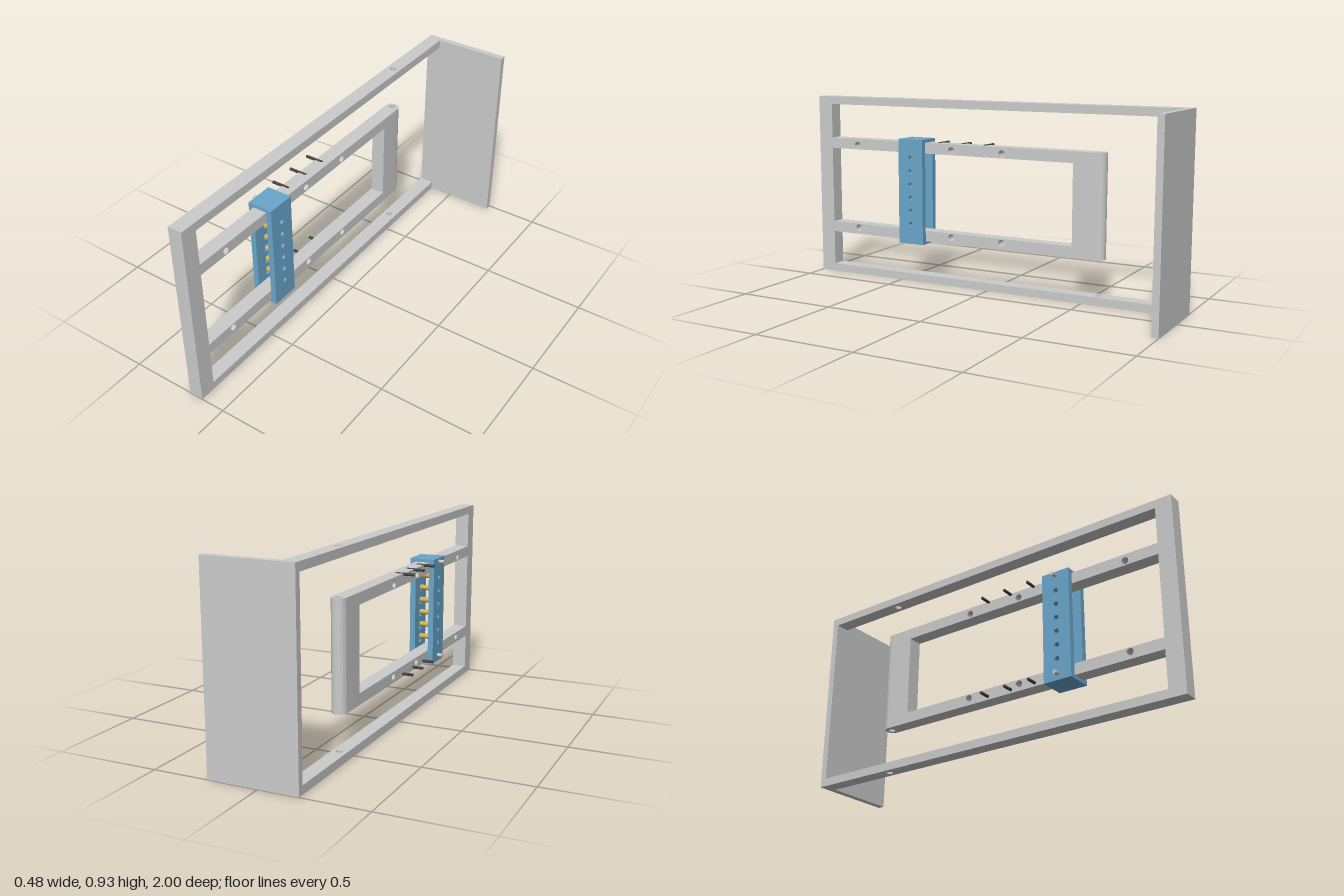
import * as THREE from 'three';
import { toCreasedNormals } from 'three/addons/utils/BufferGeometryUtils.js';

const grey = new THREE.MeshStandardMaterial({ color: 0xcccccc });
const blue = new THREE.MeshStandardMaterial({ color: 0x6aa6cc });
const brass = new THREE.MeshStandardMaterial({ color: 0xd4b050 });
const dark = new THREE.MeshStandardMaterial({ color: 0x444444 });

// Frame thickness in x, and overall height
const X0 = -0.188, X1 = -0.118, XC = (X0 + X1) / 2, H = 0.93;
const PIVOT_Z = -0.575;

function add(parent, name, geometry, material) {
  const mesh = new THREE.Mesh(geometry, material);
  mesh.name = name;
  parent.add(mesh);
  return mesh;
}

// Box given by its limits on each axis
function box(x0, x1, y0, y1, z0, z1) {
  return new THREE.BoxGeometry(x1 - x0, y1 - y0, z1 - z0)
    .translate((x0 + x1) / 2, (y0 + y1) / 2, (z0 + z1) / 2);
}

function rect(a0, a1, b0, b1) {
  return new THREE.Shape([[a0, b0], [a1, b0], [a1, b1], [a0, b1]].map(p => new THREE.Vector2(...p)));
}

function drill(shape, a, b, r) {
  shape.holes.push(new THREE.Path().absarc(a, b, r, 0, Math.PI * 2, true));
  return shape;
}

function extrude(shape, depth) {
  return new THREE.ExtrudeGeometry(shape, { depth, bevelEnabled: false, curveSegments: 16 });
}

// Shape drawn in (x, -z), raised from y0 to y1
function plan(shape, y0, y1) {
  return toCreasedNormals(extrude(shape, y1 - y0).rotateX(-Math.PI / 2).translate(0, y0, 0), 0.6);
}

// Shape drawn in (-z, y), extruded from x0 to x1
function side(shape, x0, x1) {
  return toCreasedNormals(extrude(shape, x1 - x0).rotateY(Math.PI / 2).translate(x0, 0, 0), 0.6);
}

// Round rod along x
function rod(x0, x1, y, z, r) {
  return new THREE.CylinderGeometry(r, r, x1 - x0, 20).rotateZ(Math.PI / 2).translate((x0 + x1) / 2, y, z);
}

export function createModel() {
  const model = new THREE.Group();
  model.name = 'slidingFrame';

  // Outer frame: front post, two drilled rails and the back plate
  const outer = new THREE.Group();
  outer.name = 'outerFrame';
  model.add(outer);
  add(outer, 'frontPost', box(X0, X1, 0, H, 0.92, 1), grey);
  add(outer, 'backPlate', box(X0, 0.238, 0, H, -1, -0.968), grey);
  for (const [name, y0, y1] of [['lowerRail', 0, 0.04], ['upperRail', 0.89, H]]) {
    add(outer, name, plan(drill(rect(X0, X1, -0.92, 0.968), XC, -PIVOT_Z, 0.016), y0, y1), grey);
  }

  // Inner frame: two arms with cross holes, joined by a round-ended drilled post
  const inner = new THREE.Group();
  inner.name = 'innerFrame';
  model.add(inner);
  const armLow = 0.215, armHigh = 0.715, armH = 0.054;
  for (const [name, y0] of [['lowerArm', armLow], ['upperArm', armHigh - armH]]) {
    const shape = rect(-0.92, 0.45, y0, y0 + armH);
    const y = name === 'lowerArm' ? 0.248 : 0.683;
    for (const z of [0.76, 0.2, -0.08]) drill(shape, -z, y, 0.017);
    add(inner, name, side(shape, X0, X1), grey);
  }
  const r = (X1 - X0) / 2;
  const post = new THREE.Shape();
  post.moveTo(X0, 0.45);
  post.lineTo(X1, 0.45);
  post.lineTo(X1, 0.57);
  post.absarc(XC, 0.57, r, 0, Math.PI, false);
  post.closePath();
  add(inner, 'endPost', plan(drill(post, XC, -PIVOT_Z, 0.016), armLow, armHigh), grey);

  // Slider: two drilled cheeks with caps, wrapped round the arms
  const slider = new THREE.Group();
  slider.name = 'slider';
  model.add(slider);
  const z0 = 0.35, z1 = 0.49, zc = 0.42, bottom = 0.2, top = 0.731;
  for (const [name, x0, x1] of [['rightCheek', -0.215, X0], ['leftCheek', X1, -0.09]]) {
    const shape = rect(-z1, -z0, bottom, top);
    for (let i = 0; i < 6; i++) drill(shape, -zc, 0.3 + i * 0.067, 0.012);
    add(slider, name, side(shape, x0, x1), blue);
  }
  add(slider, 'bottomCap', box(X0, X1, bottom, armLow, z0, z1), blue);
  add(slider, 'topCap', box(X0, X1, armHigh, top, z0, z1), blue);

  // Brass crosspins between the cheeks
  for (let i = 0; i < 6; i++) {
    add(slider, 'crosspin' + (i + 1), rod(X0, X1, 0.322 + i * 0.063, zc, 0.013), brass);
  }

  // Locking pins on the slider and stop pins along the arms
  for (const y of [0.231, 0.712]) {
    add(slider, 'lockingPin', rod(-0.24, -0.19, y, zc, 0.009), grey);
    for (const z of [0.285, 0.157, 0.03]) {
      add(inner, 'stopPin', rod(-0.24, -0.15, y, z, 0.007), dark);
    }
  }
  return model;
}
